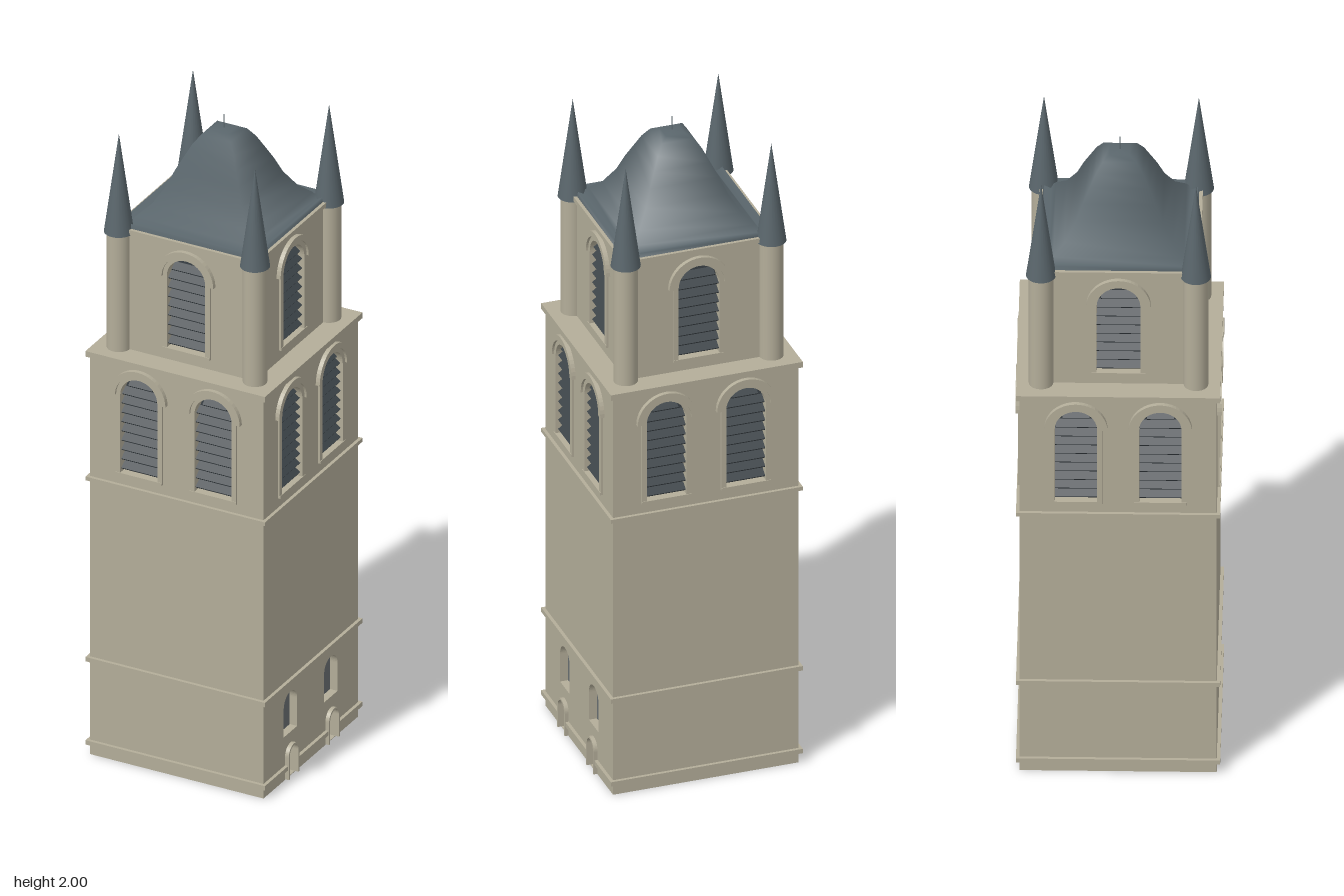
import * as THREE from 'three';

const mat = (name, color) => {
  const m = new THREE.MeshStandardMaterial({ color });
  m.name = name;
  return m;
};

// Outline of a round-arched opening centred on u
function archPath(u, y0, ys, r, Type = THREE.Path) {
  const p = new Type();
  p.moveTo(u - r, y0);
  p.lineTo(u + r, y0);
  p.lineTo(u + r, ys);
  p.absarc(u, ys, r, 0, Math.PI, false);
  p.closePath();
  return p;
}

// Outline of an arched moulding, open at the bottom
function archRing(u, y0, ys, ri, ro) {
  const s = new THREE.Shape();
  s.moveTo(u + ro, y0);
  s.lineTo(u + ro, ys);
  s.absarc(u, ys, ro, 0, Math.PI, false);
  s.lineTo(u - ro, y0);
  s.lineTo(u - ri, y0);
  s.lineTo(u - ri, ys);
  s.absarc(u, ys, ri, Math.PI, 0, true);
  s.lineTo(u + ri, y0);
  s.closePath();
  return s;
}

export function createModel() {
  const stone = mat('stone', 0xb3ad99);
  const slate = mat('slate', 0x5a666c);
  const louvre = mat('louvre', 0x3b4247);
  const glass = mat('glass', 0x686e71);

  const model = new THREE.Group();
  model.name = 'bellTower';
  const tower = new THREE.Group();
  tower.name = 'tower';
  tower.rotation.y = 0.712;
  model.add(tower);

  const add = (parent, name, geo, material, x = 0, y = 0, z = 0) => {
    const m = new THREE.Mesh(geo, material);
    m.name = name;
    m.position.set(x, y, z);
    parent.add(m);
    return m;
  };
  const box = (parent, name, material, w, h, d, x, y, z) =>
    add(parent, name, new THREE.BoxGeometry(w, h, d), material, x, y, z);
  const plate = (parent, name, shape, depth, material, z) =>
    add(parent, name, new THREE.ExtrudeGeometry(shape, { depth, bevelEnabled: false, curveSegments: 12 }), material, 0, 0, z);

  const T = 0.03; // wall thickness

  // Arched bell opening: backing, slats, jambs and hood
  function bellWindow(face, half, w) {
    plate(face, 'louvreBacking', archPath(w.u, w.y0, w.ys, w.r, THREE.Shape), 0.004, louvre, half - T);
    const step = 0.03;
    for (let y = w.y0 + 0.018; y < w.ys + w.r - 0.012; y += step) {
      const rise = Math.max(0, y + 0.008 - w.ys);
      const hw = Math.sqrt(w.r * w.r - rise * rise);
      const slat = box(face, 'louvreSlat', louvre, hw * 2, 0.005, 0.026, w.u, y, half - 0.013);
      slat.rotation.x = 0.6;
    }
    plate(face, 'windowJambs', archRing(w.u, w.y0, w.ys, w.r, w.r + 0.015), 0.006, stone, half);
    plate(face, 'windowHood', archRing(w.u, w.ys, w.ys, w.r + 0.013, w.r + 0.03), 0.013, stone, half);
    box(face, 'windowSill', stone, w.r * 2 + 0.03, 0.008, 0.008, w.u, w.y0 - 0.004, half + 0.004);
  }

  // Low windows on the entrance side
  function lowWindow(face, half, w) {
    plate(face, 'windowPane', archPath(w.u, w.y0, w.ys, w.r, THREE.Shape), 0.006, w.pane, half - T);
    if (w.framed) plate(face, 'windowFrame', archRing(w.u, w.y0, w.ys, w.r, w.r + 0.006), 0.012, stone, half);
  }

  // Four wall panels with openings around a solid core
  function storey(name, half, y0, y1, coreY0, windowsFor) {
    const group = new THREE.Group();
    group.name = name;
    tower.add(group);
    const inner = (half - T) * 2;
    box(group, 'core', stone, inner, y1 - coreY0, inner, 0, (y0 + y1 + coreY0 - y0) / 2, 0);
    for (let k = 0; k < 4; k++) {
      const face = new THREE.Group();
      face.name = 'wallSide';
      face.rotation.y = k * Math.PI / 2;
      group.add(face);
      const hw = k % 2 ? half - T : half;
      const s = new THREE.Shape();
      s.moveTo(-hw, y0);
      s.lineTo(hw, y0);
      s.lineTo(hw, y1);
      s.lineTo(-hw, y1);
      s.closePath();
      for (const w of windowsFor(k)) {
        s.holes.push(archPath(w.u, w.y0, w.ys, w.r));
        (w.pane ? lowWindow : bellWindow)(face, half, w);
      }
      plate(face, 'wall', s, T, stone, half - T);
    }
  }

  storey('shaft', 0.28, 0, 1.285, 0.03, (k) => {
    const list = [];
    for (const u of [-0.12, 0.12]) {
      list.push({ u, y0: 0.935, ys: 1.185, r: 0.06 });
      if (k === 0) {
        list.push({ u, y0: 0.14, ys: 0.23, r: 0.04, pane: glass });
        list.push({ u, y0: 0.002, ys: 0.074, r: 0.026, pane: louvre, framed: true });
      }
    }
    return list;
  });
  storey('belfry', 0.22, 1.295, 1.68, 1.295, () => [{ u: 0, y0: 1.34, ys: 1.57, r: 0.062 }]);

  // String courses; the lowest one stops at the small windows
  const B = 0.29;
  box(tower, 'middleCourse', stone, 2 * B, 0.014, 2 * B, 0, 0.308, 0);
  box(tower, 'upperCourse', stone, 2 * B, 0.012, 2 * B, 0, 0.89, 0);
  box(tower, 'deck', stone, 2 * B, 0.018, 2 * B, 0, 1.291, 0);
  box(tower, 'belfryCornice', stone, 0.464, 0.014, 0.464, 0, 1.683, 0);
  for (const s of [-1, 1]) {
    box(tower, 'baseCourseSide', stone, 0.012, 0.014, 2 * B, s * (B - 0.006), 0.04, 0);
    box(tower, 'baseCourseFrontEnd', stone, 0.127, 0.014, 0.012, s * 0.2145, 0.04, B - 0.006);
  }
  box(tower, 'baseCourseBack', stone, 2 * B - 0.024, 0.014, 0.012, 0, 0.04, -B + 0.006);
  box(tower, 'baseCourseFront', stone, 0.178, 0.014, 0.012, 0, 0.04, B - 0.006);

  // Corner turrets with spires
  for (const sx of [-1, 1]) {
    for (const sz of [-1, 1]) {
      const x = sx * 0.22, z = sz * 0.22;
      add(tower, 'turret', new THREE.CylinderGeometry(0.035, 0.035, 0.376, 24), stone, x, 1.486, z);
      add(tower, 'turretSpire', new THREE.ConeGeometry(0.043, 0.313, 24), slate, x, 1.8285, z);
    }
  }

  // Four-sided domed roof with a gutter at its foot
  const profile = [
    [0.314, 1.689], [0.308, 1.703], [0.282, 1.691], [0.262, 1.711], [0.218, 1.74], [0.175, 1.79],
    [0.148, 1.838], [0.12, 1.88], [0.095, 1.917], [0.068, 1.945], [0.04, 1.956], [0, 1.958],
  ].map(([r, y]) => new THREE.Vector2(r, y));
  add(tower, 'domedRoof', new THREE.LatheGeometry(profile, 4, Math.PI / 4), slate);
  add(tower, 'finial', new THREE.CylinderGeometry(0.002, 0.002, 0.05, 8), slate, 0, 1.975, 0);

  return model;
}
